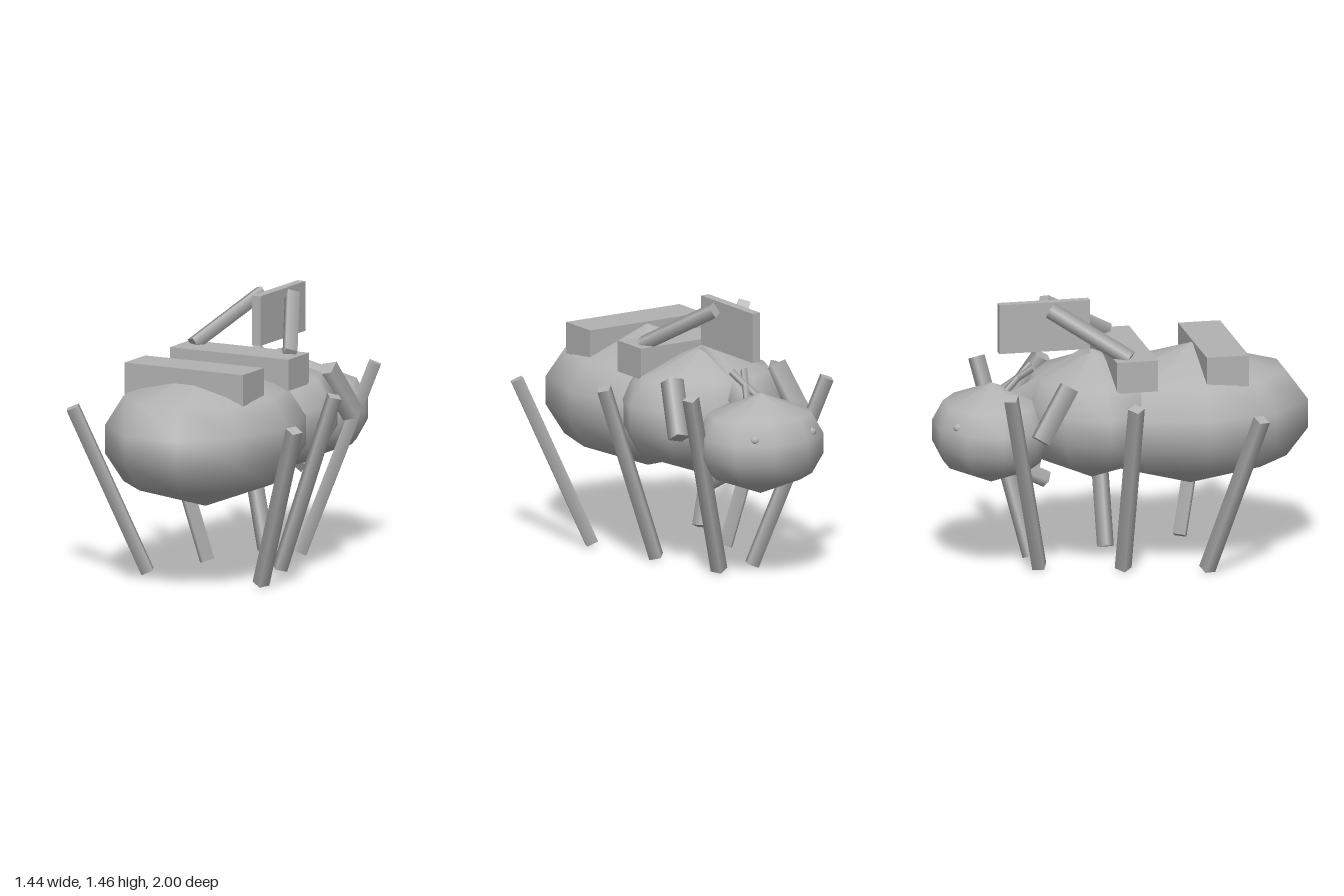
import * as THREE from 'three';

export function createModel() {
  const model = new THREE.Group();
  const grey = new THREE.MeshStandardMaterial({ color: 0xb2b2b2 });
  grey.name = 'plain grey';

  const add = (name, geometry, position) => {
    const mesh = new THREE.Mesh(geometry, grey);
    mesh.name = name;
    mesh.position.set(...position);
    model.add(mesh);
    return mesh;
  };

  // Ten-sided ellipsoid with rings at evenly spaced heights
  const ellipsoid = (name, radii, position) => {
    const profile = [-1, -0.6, -0.2, 0.2, 0.6, 1].map(
      (y) => new THREE.Vector2(Math.sqrt(1 - y * y), y));
    const geometry = new THREE.LatheGeometry(profile, 10, Math.PI / 10);
    geometry.scale(...radii);
    return add(name, geometry, position);
  };

  const box = (name, size, position) => add(name, new THREE.BoxGeometry(...size), position);

  // Four-sided rod running from one point to another
  const rod = (name, from, to, radius) => {
    const a = new THREE.Vector3(...from);
    const b = new THREE.Vector3(...to);
    const dir = b.clone().sub(a);
    const mesh = add(name, new THREE.CylinderGeometry(radius, radius, dir.length(), 4),
      a.clone().add(b).multiplyScalar(0.5).toArray());
    mesh.quaternion.setFromUnitVectors(new THREE.Vector3(0, 1, 0), dir.normalize());
  };

  // Mirrored pair of rods, given for the left side
  const rodPair = (name, from, to, radius) => {
    for (const [side, s] of [['left', 1], ['right', -1]]) {
      rod(`${side}${name}`, [from[0] * s, from[1], from[2]], [to[0] * s, to[1], to[2]], radius);
    }
  };

  // Body
  ellipsoid('abdomen', [0.51, 0.388, 0.653], [0, 0.793, 0.39]);
  ellipsoid('thorax', [0.48, 0.355, 0.385], [0, 0.823, -0.15]);
  ellipsoid('head', [0.355, 0.275, 0.322], [0, 0.748, -0.7]);
  for (const s of [-1, 1]) {
    ellipsoid(s > 0 ? 'leftEye' : 'rightEye', [0.025, 0.025, 0.025], [0.18 * s, 0.83, -0.92]);
  }

  // Blocks across the back and the upright fin
  box('abdomenBlock', [0.725, 0.17, 0.23], [0, 1.105, 0.515]);
  box('thoraxBlock', [0.725, 0.17, 0.225], [0, 1.105, 0.02]);
  box('fin', [0.05, 0.27, 0.495], [0, 1.317, -0.412]);

  // Legs
  rodPair('FrontLeg', [0.677, 0.918, 0.632], [0.347, 0.018, 0.405], 0.046);
  rodPair('MiddleLeg', [0.555, 0.982, -0.027], [0.222, 0.016, -0.027], 0.046);
  rodPair('BackLeg', [0.436, 1.047, -0.685], [0.106, 0.018, -0.46], 0.046);

  // Struts leaning in towards the fin
  rodPair('Strut', [0.295, 1.19, -0.005], [0.092, 1.427, -0.395], 0.046);

  // Short stubs at the neck and mouth
  rodPair('NeckStub', [0.33, 1.06, -0.345], [0.395, 0.79, -0.515], 0.063);
  rodPair('Mandible', [0.12, 0.5, -0.42], [0.12, 0.6, -0.62], 0.045);

  // Ridge from thorax to head, with crossed feelers above it
  rod('neckRidge', [0, 1.14, -0.15], [0, 0.89, -0.58], 0.065);
  rodPair('Feeler', [0.04, 1.1, -0.48], [-0.04, 0.975, -0.63], 0.02);

  return model;
}
